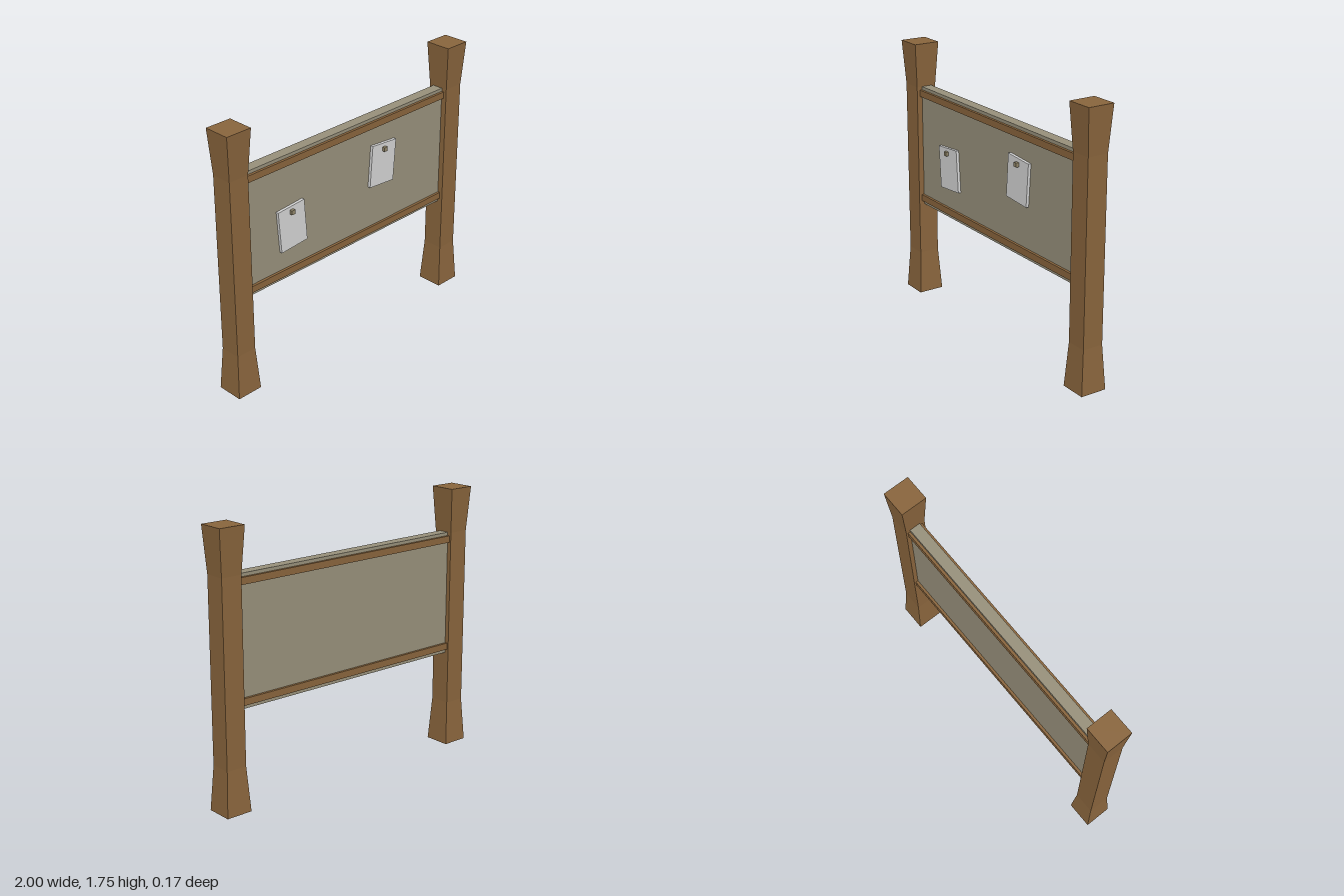
import * as THREE from 'three';

const material = (name, color) => {
  const m = new THREE.MeshStandardMaterial({ color });
  m.name = name;
  return m;
};

// Square post with flared top and foot
function postGeometry() {
  const levels = [[0, 0.0875], [0.29, 0.069], [1.46, 0.069], [1.75, 0.0875]]; // height, half width
  const geo = new THREE.BoxGeometry(2, 3, 2, 1, 3, 1);
  const p = geo.attributes.position;
  for (let i = 0; i < p.count; i++) {
    const [y, half] = levels[Math.round(p.getY(i) + 1.5)];
    p.setXYZ(i, p.getX(i) * half, y, p.getZ(i) * half);
  }
  const flat = geo.toNonIndexed();
  flat.computeVertexNormals();
  return flat;
}

export function createModel() {
  const model = new THREE.Group();
  model.name = 'noticeBoard';

  const wood = material('wood', 0x88643c);
  const board = material('board', 0x968f7a);
  const paper = material('paper', 0xd2d2d2);
  const pin = material('pin', 0x8f8468);

  const box = (name, mat, w, h, d, x, y, z, parent = model) => {
    const mesh = new THREE.Mesh(new THREE.BoxGeometry(w, h, d), mat);
    mesh.name = name;
    mesh.position.set(x, y, z);
    parent.add(mesh);
    return mesh;
  };

  // Posts
  const post = postGeometry();
  for (const [name, side] of [['leftPost', 1], ['rightPost', -1]]) {
    const mesh = new THREE.Mesh(post, wood);
    mesh.name = name;
    mesh.position.x = side * 0.9125;
    model.add(mesh);
  }

  // Panel with a rail along top and bottom on both faces
  box('panel', board, 1.69, 0.82, 0.072, 0, 1.05, -0.004);
  for (const [face, z] of [['front', 0.04], ['back', -0.048]]) {
    box(face + 'TopRail', wood, 1.69, 0.044, 0.018, 0, 1.417, z);
    box(face + 'BottomRail', wood, 1.69, 0.044, 0.018, 0, 0.687, z);
  }

  // Tilted notices, each held by a square pin
  const notices = [
    { x: -0.495, y: 0.985, tilt: 0.075, pinX: -0.505, pinY: 1.09 },
    { x: 0.28, y: 1.128, tilt: -0.075, pinX: 0.285, pinY: 1.23 },
  ];
  for (const n of notices) {
    const group = new THREE.Group();
    group.name = 'notice';
    model.add(group);
    box('sheet', paper, 0.21, 0.28, 0.02, n.x, n.y, 0.041, group).rotation.z = n.tilt;
    box('pin', pin, 0.027, 0.027, 0.022, n.pinX, n.pinY, 0.06, group);
  }

  return model;
}
